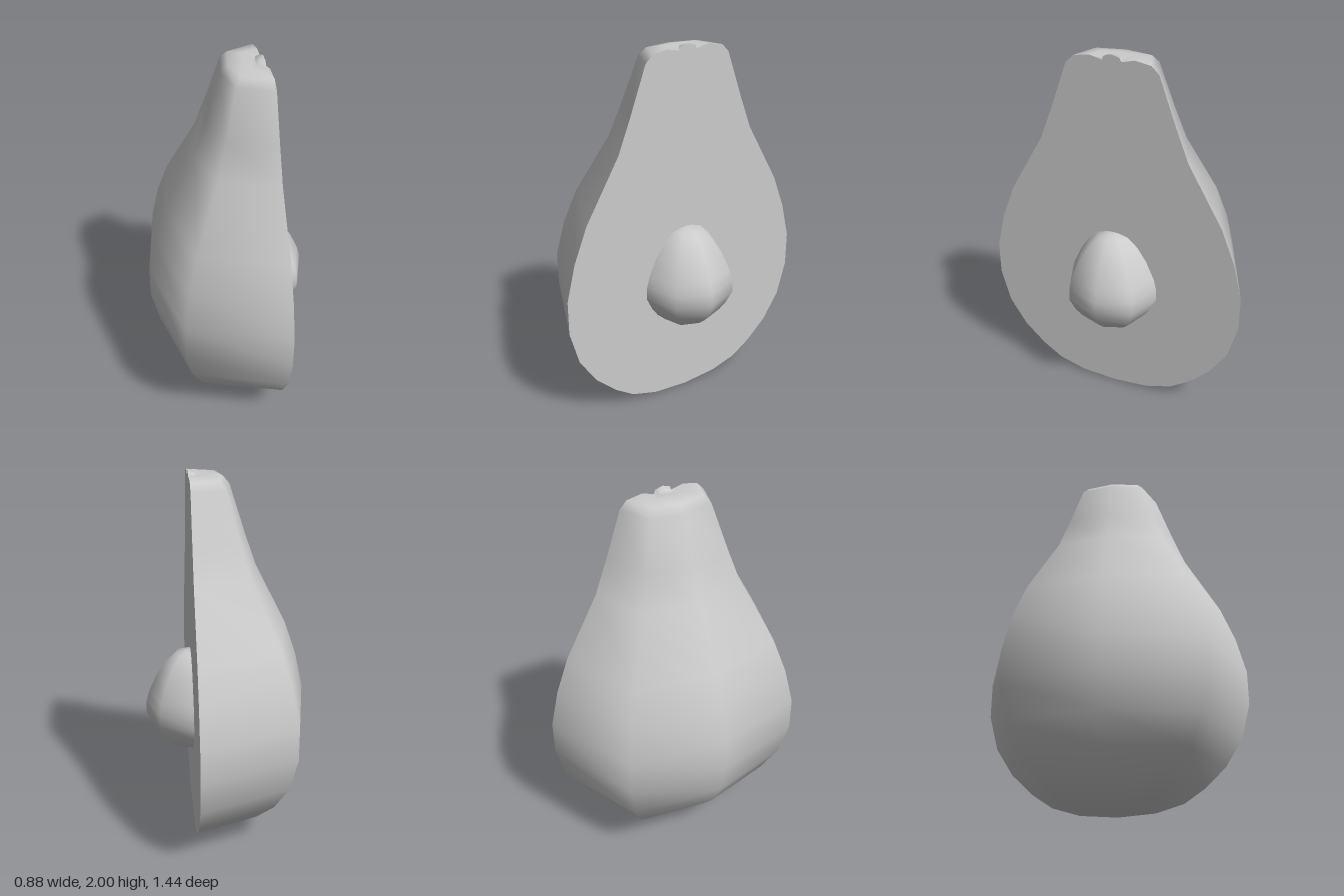
import * as THREE from 'three';
import { mergeVertices } from 'three/addons/utils/BufferGeometryUtils.js';

const CUT_X = 0.185; // plane of the flat cut face

// [half width, height] from bottom to top
const BODY = [
  [0, 0.005], [0.2, 0.02], [0.35, 0.065], [0.46, 0.14], [0.575, 0.25], [0.67, 0.4],
  [0.72, 0.59], [0.72, 0.78], [0.67, 0.98], [0.595, 1.17], [0.405, 1.5], [0.335, 1.68],
  [0.245, 1.93], [0.205, 1.97], [0.12, 1.985], [0.05, 1.968], [0.042, 1.988], [0, 2],
];
const PIT = [
  [0, 0.455], [0.08, 0.46], [0.135, 0.485], [0.185, 0.53], [0.22, 0.58], [0.253, 0.65],
  [0.25, 0.72], [0.235, 0.78], [0.19, 0.88], [0.14, 0.955], [0.085, 1.005], [0.03, 1.02], [0, 1.022],
];

const toPoints = (profile) => profile.map(([r, y]) => new THREE.Vector2(r, y));

// Half lathe with four facets around; side is +1 or -1 along x.
// depth is the reach of the middle column, relative to the half width.
function halfSolid(profile, side, depth) {
  const geo = new THREE.LatheGeometry(toPoints(profile), 4, side > 0 ? 0 : Math.PI, Math.PI);
  const reach = [0, 0.725, depth, 0.725, 0];
  const spread = [1, 0.725, 0, -0.725, -1];
  const pos = geo.attributes.position;
  for (let i = 0; i < pos.count; i++) {
    const column = Math.floor(i / profile.length);
    const [r, y] = profile[i % profile.length];
    pos.setXYZ(i, side * r * reach[column], y, side * r * spread[column]);
  }
  geo.deleteAttribute('uv');
  geo.deleteAttribute('normal');
  const smooth = mergeVertices(geo, 1e-4);
  smooth.computeVertexNormals();
  return smooth;
}

export function createModel() {
  const group = new THREE.Group();
  const material = new THREE.MeshStandardMaterial({ color: 0xcccccc, side: THREE.DoubleSide });
  const add = (name, geometry) => {
    const mesh = new THREE.Mesh(geometry, material);
    mesh.name = name;
    mesh.position.x = CUT_X;
    group.add(mesh);
  };

  // Rounded skin with the small stem stub at the top
  add('skin', halfSolid(BODY, -1, 0.87));

  // Flat cut flesh, outlined by the mirrored body profile
  const mirrored = BODY.slice(1, -1).reverse().map(([r, y]) => [-r, y]);
  const flesh = new THREE.ShapeGeometry(new THREE.Shape(toPoints([...BODY, ...mirrored])));
  add('cutFlesh', flesh.rotateY(Math.PI / 2));

  // Half of the pit standing out of the cut face
  add('pit', halfSolid(PIT, 1, 1));

  return group;
}
